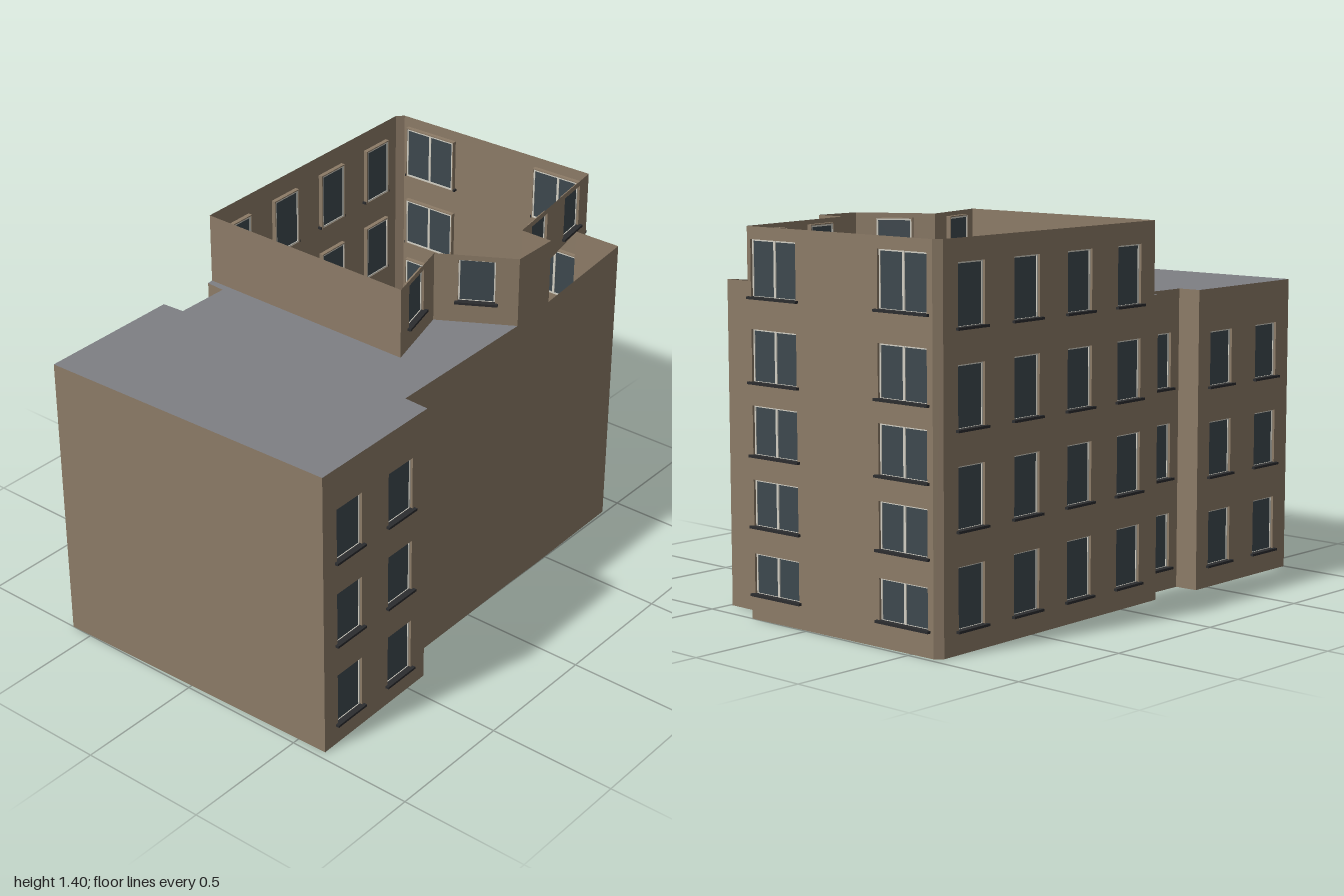
import * as THREE from 'three';

const material = (name, color, side = THREE.FrontSide) => {
  const m = new THREE.MeshStandardMaterial({ color, side });
  m.name = name;
  return m;
};

export function createModel() {
  const building = new THREE.Group();
  building.name = 'building';

  const wallMat = material('tan wall', 0x8c7b67, THREE.DoubleSide);
  const roofMat = material('grey roof', 0x7e7f84, THREE.DoubleSide);
  const glassMat = material('dark glass', 0x3d484e, THREE.DoubleSide);
  const frameMat = material('pale frame', 0xd2cfc4);
  const sillMat = material('dark sill', 0x2b2c2e);

  const add = (parent, name, geometry, mat, x = 0, y = 0, z = 0) => {
    const mesh = new THREE.Mesh(geometry, mat);
    mesh.name = name;
    mesh.position.set(x, y, z);
    parent.add(mesh);
    return mesh;
  };

  const rect = (Type, w, h, cx = 0, cy = 0) => new Type([
    new THREE.Vector2(cx - w / 2, cy - h / 2), new THREE.Vector2(cx + w / 2, cy - h / 2),
    new THREE.Vector2(cx + w / 2, cy + h / 2), new THREE.Vector2(cx - w / 2, cy + h / 2),
  ]);

  // Rectangular ring of a given border and depth
  const ring = (w, h, border, depth) => {
    const shape = rect(THREE.Shape, w, h);
    shape.holes.push(rect(THREE.Path, w - 2 * border, h - 2 * border));
    return new THREE.ExtrudeGeometry(shape, { depth, bevelEnabled: false });
  };

  // Recessed window: reveal, frame, glass, optional mullion, projecting sill
  function addWindow(parent, { u, y, w, h, split }) {
    const group = new THREE.Group();
    group.name = 'window';
    group.position.set(u, y + h / 2, 0);
    add(group, 'reveal', ring(w + 0.008, h + 0.008, 0.004, 0.017), wallMat, 0, 0, -0.018);
    add(group, 'frame', ring(w, h, 0.006, 0.006), frameMat, 0, 0, -0.016);
    add(group, 'glass', new THREE.PlaneGeometry(w, h), glassMat, 0, 0, -0.013);
    if (split) add(group, 'mullion', new THREE.BoxGeometry(0.01, h, 0.006), frameMat, 0, 0, -0.012);
    add(group, 'sill', new THREE.BoxGeometry(w + 0.022, 0.009, 0.028), sillMat, 0, -h / 2, -0.001);
    parent.add(group);
  }

  // Wall sheet from a to b ([x, z]), outward on the right; bottom and top are [start, end] heights
  function addWall(name, a, b, bottom, top, windows = []) {
    const dx = b[0] - a[0], dz = b[1] - a[1], len = Math.hypot(dx, dz);
    const group = new THREE.Group();
    group.name = name;
    group.position.set(a[0], 0, a[1]);
    group.rotation.y = Math.atan2(-dz, dx);
    const shape = new THREE.Shape([
      new THREE.Vector2(0, bottom[0]), new THREE.Vector2(len, bottom[1]),
      new THREE.Vector2(len, top[1]), new THREE.Vector2(0, top[0]),
    ]);
    for (const win of windows) {
      shape.holes.push(rect(THREE.Path, win.w, win.h, win.u, win.y + win.h / 2));
      addWindow(group, win);
    }
    add(group, name + 'Sheet', new THREE.ShapeGeometry(shape), wallMat);
    building.add(group);
  }

  // Grid of equal windows
  const grid = (columns, sills, w = 0.135, h = 0.21) =>
    columns.flatMap((u) => sills.map((y) => ({ u, y, w, h })));

  const LOW = [1.13, 1.13], HIGH = [1.4, 1.4], GROUND = [0, 0];
  const floors = [0.08, 0.42, 0.76];

  // Front block
  addWall('frontWall', [-0.59, 1.0], [0.62, 0.97], GROUND, LOW);
  addWall('rightFrontWall', [0.62, 0.97], [0.61, 0.405], GROUND, LOW, grid([0.14, 0.42], floors));
  addWall('rightStep', [0.61, 0.405], [0.51, 0.4], GROUND, LOW);
  addWall('rightLongWall', [0.51, 0.4], [0.5, -0.26], GROUND, LOW);
  addWall('leftReturn', [-0.59, 0.18], [-0.587, 0.205], GROUND, LOW);
  addWall('leftRecessBack', [-0.587, 0.205], [-0.51, 0.21], GROUND, LOW);
  addWall('leftRecessWall', [-0.51, 0.21], [-0.51, 0.425], GROUND, LOW, grid([0.11], floors, 0.12));
  addWall('leftRecessFront', [-0.51, 0.425], [-0.6, 0.43], GROUND, LOW);
  addWall('leftFrontWall', [-0.6, 0.43], [-0.59, 1.0], GROUND, LOW, grid([0.14, 0.425], floors));

  // Rear block, right side with its low sloping strip
  addWall('rightTallWall', [0.5, -0.26], [0.5, -0.45], GROUND, HIGH);
  addWall('rightLowWall', [0.5, -0.45], [0.49, -0.91], GROUND, [1.15, 1.195]);
  addWall('rightLowReturn', [0.49, -0.91], [0.295, -0.91], GROUND, [1.195, 1.195]);
  addWall('rightRearWall', [0.295, -0.91], [0.28, -1.0], GROUND, [1.195, 1.2]);

  // Rear and left walls
  const rearRows = [[1.15, 0.205], [0.85, 0.19], [0.59, 0.18], [0.335, 0.17], [0.09, 0.15]];
  const rearWindows = [0.128, 0.742].flatMap((u) =>
    rearRows.map(([y, h]) => ({ u, y, w: 0.225, h, split: true })));
  addWall('rearWall', [0.28, -1.0], [-0.6, -0.98], GROUND, HIGH, rearWindows);
  addWall('rearCorner', [-0.6, -0.98], [-0.625, -0.955], GROUND, HIGH);
  addWall('leftRearWall', [-0.625, -0.955], [-0.59, 0.18], GROUND, HIGH,
    grid([0.14, 0.425, 0.71, 0.99], [...floors, 1.1], 0.135, 0.22));

  // Upper storey walls standing above the roof
  addWall('upperFrontWall', [-0.59, 0.18], [0.32, 0.19], LOW, HIGH);
  addWall('upperInnerWall', [0.32, 0.19], [0.235, -0.105], LOW, HIGH, grid([0.145], [1.21], 0.14, 0.17));
  addWall('upperAngledWall', [0.235, -0.105], [0.5, -0.26], LOW, HIGH, grid([0.155], [1.21], 0.135, 0.17));
  addWall('upperReturn', [0.5, -0.45], [0.37, -0.45], [1.15, 1.15], HIGH);
  addWall('upperRightWall', [0.37, -0.45], [0.28, -1.0], [1.15, 1.2], HIGH,
    grid([0.147, 0.42], [1.21], 0.13, 0.17));

  // Flat roof of the front block
  const outline = [[-0.59, 1.0], [0.62, 0.97], [0.61, 0.405], [0.51, 0.4], [0.5, -0.26], [0.235, -0.105],
    [0.32, 0.19], [-0.59, 0.18], [-0.587, 0.205], [-0.51, 0.21], [-0.51, 0.425], [-0.6, 0.43]];
  const roof = new THREE.ShapeGeometry(new THREE.Shape(outline.map(([x, z]) => new THREE.Vector2(x, -z))));
  add(building, 'roof', roof.rotateX(-Math.PI / 2), roofMat, 0, 1.13, 0);

  return building;
}
